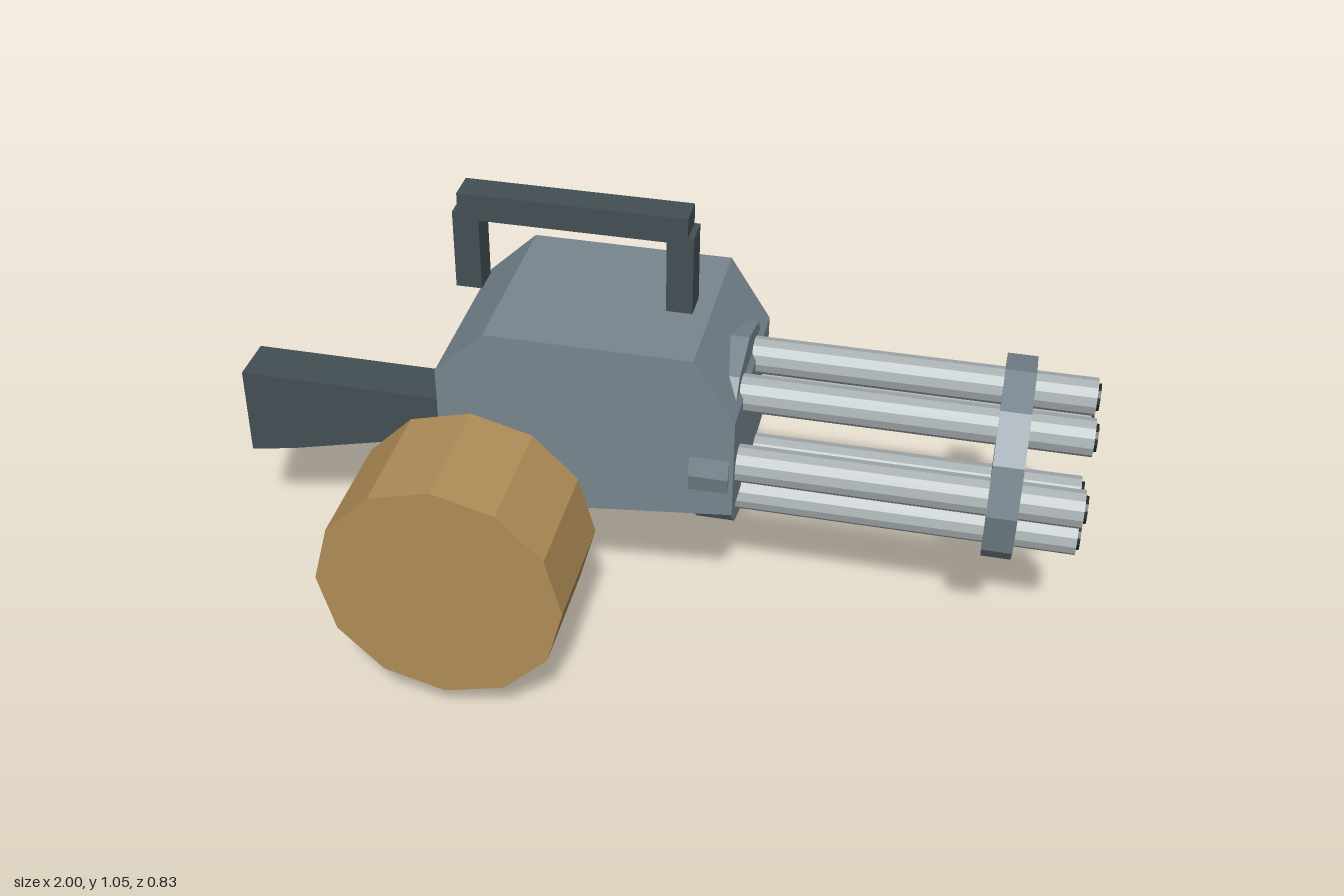
import * as THREE from 'three';

const Z = -0.18; // centre plane of the body and barrels
const AXIS_Y = 0.513; // height of the barrel axis

const paint = (color) => new THREE.MeshStandardMaterial({ color, flatShading: true });

export function createModel() {
  const model = new THREE.Group();
  const steel = paint(0x78868f);
  const dark = paint(0x434f54);
  const silver = paint(0xa9b1b3);
  const black = paint(0x1c2529);
  const tan = paint(0xb08d57);

  const add = (name, geometry, material) => {
    const mesh = new THREE.Mesh(geometry, material);
    mesh.name = name;
    model.add(mesh);
    return mesh;
  };

  // Box given by its limits on each axis
  const box = (name, [x0, x1], [y0, y1], [z0, z1], material) =>
    add(name, new THREE.BoxGeometry(x1 - x0, y1 - y0, z1 - z0), material)
      .position.set((x0 + x1) / 2, (y0 + y1) / 2, (z0 + z1) / 2);

  // Side profile extruded between two z limits
  const plate = (name, points, z0, z1, material) => {
    const shape = new THREE.Shape(points.map(([x, y]) => new THREE.Vector2(x, y)));
    const geometry = new THREE.ExtrudeGeometry(shape, { depth: z1 - z0, bevelEnabled: false });
    add(name, geometry.translate(0, 0, z0), material);
  };

  // Twelve-sided cylinder along x
  const rod = (name, radius, x0, x1, y, z, material) => {
    const geometry = new THREE.CylinderGeometry(radius, radius, x1 - x0, 12).rotateZ(-Math.PI / 2);
    add(name, geometry, material).position.set((x0 + x1) / 2, y, z);
  };

  // Chamfered main housing
  plate('body', [
    [-0.45, 0.41], [-0.11, 0.372], [0.23, 0.41], [0.23, 0.66],
    [0.135, 0.81], [-0.335, 0.81], [-0.45, 0.7],
  ], -0.405, 0.04, steel);

  // Barrel cluster held by two discs
  rod('rearBarrelDisc', 0.232, 0.13, 0.22, AXIS_Y, Z, steel);
  rod('frontBarrelDisc', 0.232, 0.787, 0.855, AXIS_Y, Z, steel);
  for (let i = 0; i < 6; i++) {
    const a = (i * Math.PI) / 3;
    const y = AXIS_Y + 0.158 * Math.sin(a);
    const z = Z + 0.158 * Math.cos(a);
    rod('barrel', 0.043, 0.2, 0.993, y, z, silver);
    rod('bore', 0.031, 0.95, 1, y, z, black);
  }

  // Ammunition drum and its feed block
  const drum = new THREE.CylinderGeometry(0.279, 0.279, 0.295, 12).rotateX(Math.PI / 2);
  add('ammoDrum', drum, tan).position.set(-0.345, 0.375, 0.267);
  box('feedBlock', [-0.44, -0.257], [0.31, 0.49], [-0.08, 0.13], steel);

  // Shoulder stock
  plate('stock', [
    [-1, 0.275], [-0.89, 0.295], [-0.44, 0.405], [-0.44, 0.502], [-1, 0.502],
  ], -0.245, -0.125, dark);

  // Pistol grip, trigger and guard
  plate('grip', [[-0.46, 0], [-0.33, 0], [-0.265, 0.42], [-0.395, 0.42]], -0.235, -0.125, dark);
  box('triggerGuard', [-0.29, -0.12], [0.273, 0.288], [-0.24, -0.12], dark);
  box('triggerGuardPost', [-0.135, -0.12], [0.273, 0.39], [-0.24, -0.12], dark);
  box('trigger', [-0.215, -0.195], [0.31, 0.39], [-0.19, -0.17], tan);

  // Carrying handle
  box('handleBar', [-0.437, 0.082], [0.985, 1.048], [-0.217, -0.145], dark);
  for (const x of [-0.45, 0.035]) {
    box('handlePost', [x, x + 0.06], [0.81, 1], [-0.216, -0.146], dark);
  }

  return model;
}
